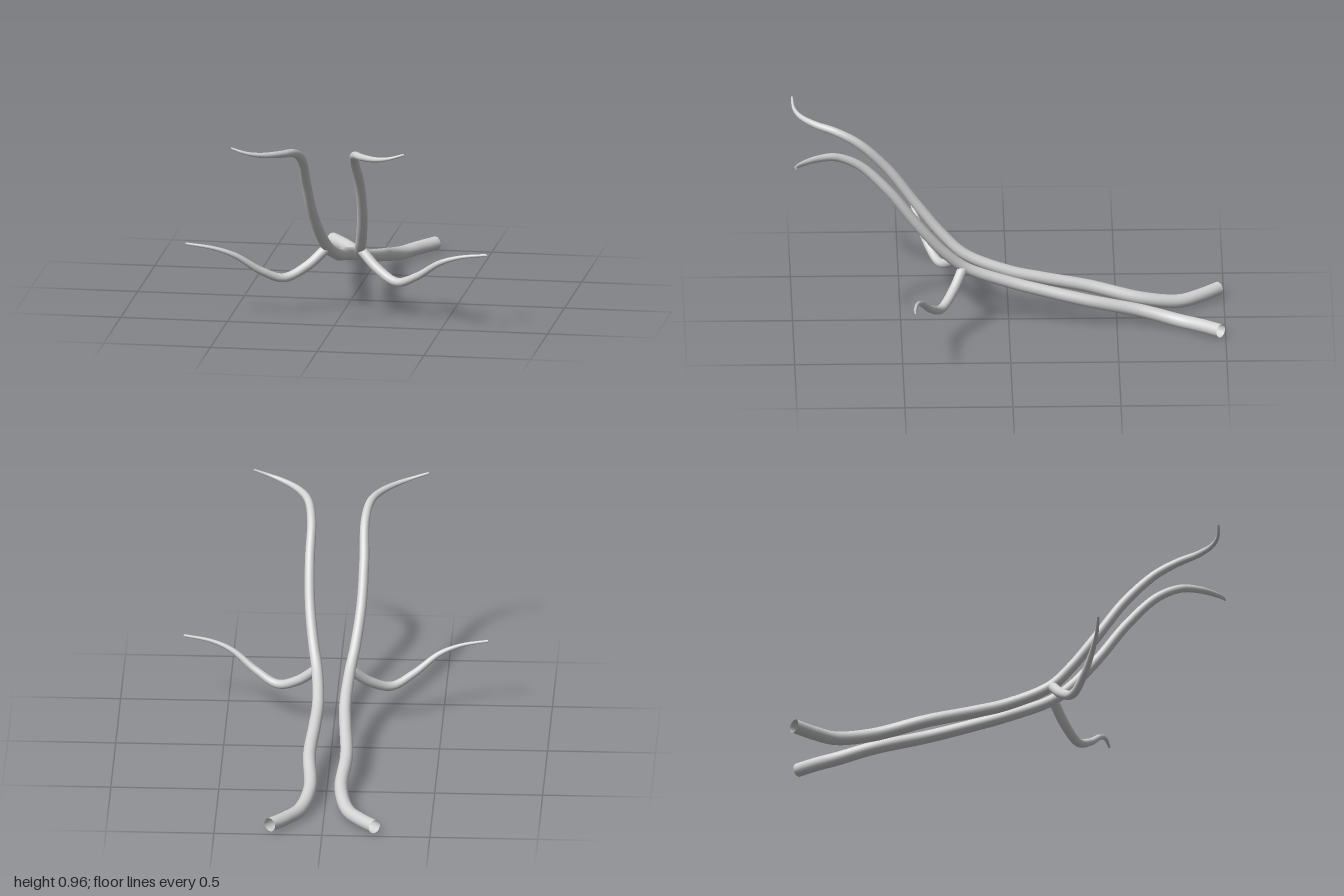
import * as THREE from 'three';

// Each row: x, y, z, radius
const TRUNK = [
  [0.242, 0.04, -0.977, 0.032], [0.172, 0.036, -0.89, 0.032], [0.112, 0.035, -0.79, 0.032],
  [0.072, 0.068, -0.62, 0.031], [0.086, 0.128, -0.37, 0.03], [0.071, 0.178, -0.15, 0.029],
  [0.063, 0.217, 0, 0.028], [0.076, 0.297, 0.2, 0.026], [0.097, 0.385, 0.3, 0.025],
  [0.119, 0.53, 0.42, 0.024], [0.126, 0.702, 0.55, 0.023], [0.124, 0.838, 0.69, 0.021],
  [0.145, 0.892, 0.8, 0.019], [0.195, 0.906, 0.89, 0.016], [0.27, 0.916, 0.96, 0.012],
  [0.335, 0.93, 0.988, 0.008], [0.405, 0.953, 0.994, 0.005],
];
const BRANCH = [
  [0.085, 0.292, 0.215, 0.024], [0.165, 0.22, 0.26, 0.023], [0.265, 0.174, 0.316, 0.021],
  [0.365, 0.217, 0.367, 0.018], [0.48, 0.297, 0.414, 0.013], [0.575, 0.332, 0.435, 0.009],
  [0.705, 0.352, 0.448, 0.006],
];

// Smooth, open-ended tapered tube; side mirrors it in x
function taperedTube(rows, side, segments, radial = 20) {
  const curve = new THREE.CatmullRomCurve3(rows.map(([x, y, z]) => new THREE.Vector3(x * side, y, z)));
  const tube = new THREE.TubeGeometry(curve, segments, 1, radial, false);
  const pos = tube.attributes.position;
  const v = new THREE.Vector3();
  for (let i = 0; i <= segments; i++) {
    // Radius at this ring, interpolated between rows
    const u = i / segments;
    const f = curve.getUtoTmapping(u) * (rows.length - 1);
    const a = Math.min(Math.floor(f), rows.length - 2);
    const r = THREE.MathUtils.lerp(rows[a][3], rows[a + 1][3], f - a);
    const c = curve.getPointAt(u);
    for (let j = 0; j <= radial; j++) {
      const k = i * (radial + 1) + j;
      v.fromBufferAttribute(pos, k).sub(c).multiplyScalar(r).add(c);
      pos.setXYZ(k, v.x, v.y, v.z);
    }
  }
  return tube;
}

export function createModel() {
  const model = new THREE.Group();
  const grey = new THREE.MeshStandardMaterial({ color: 0xd2d2d2, side: THREE.DoubleSide });
  grey.name = 'light grey';

  // Mirrored pair of stems, each with one side branch
  for (const [side, name] of [[1, 'left'], [-1, 'right']]) {
    const stem = new THREE.Mesh(taperedTube(TRUNK, side, 140), grey);
    stem.name = `${name}Stem`;
    const branch = new THREE.Mesh(taperedTube(BRANCH, side, 70), grey);
    branch.name = `${name}Branch`;
    model.add(stem, branch);
  }
  return model;
}
